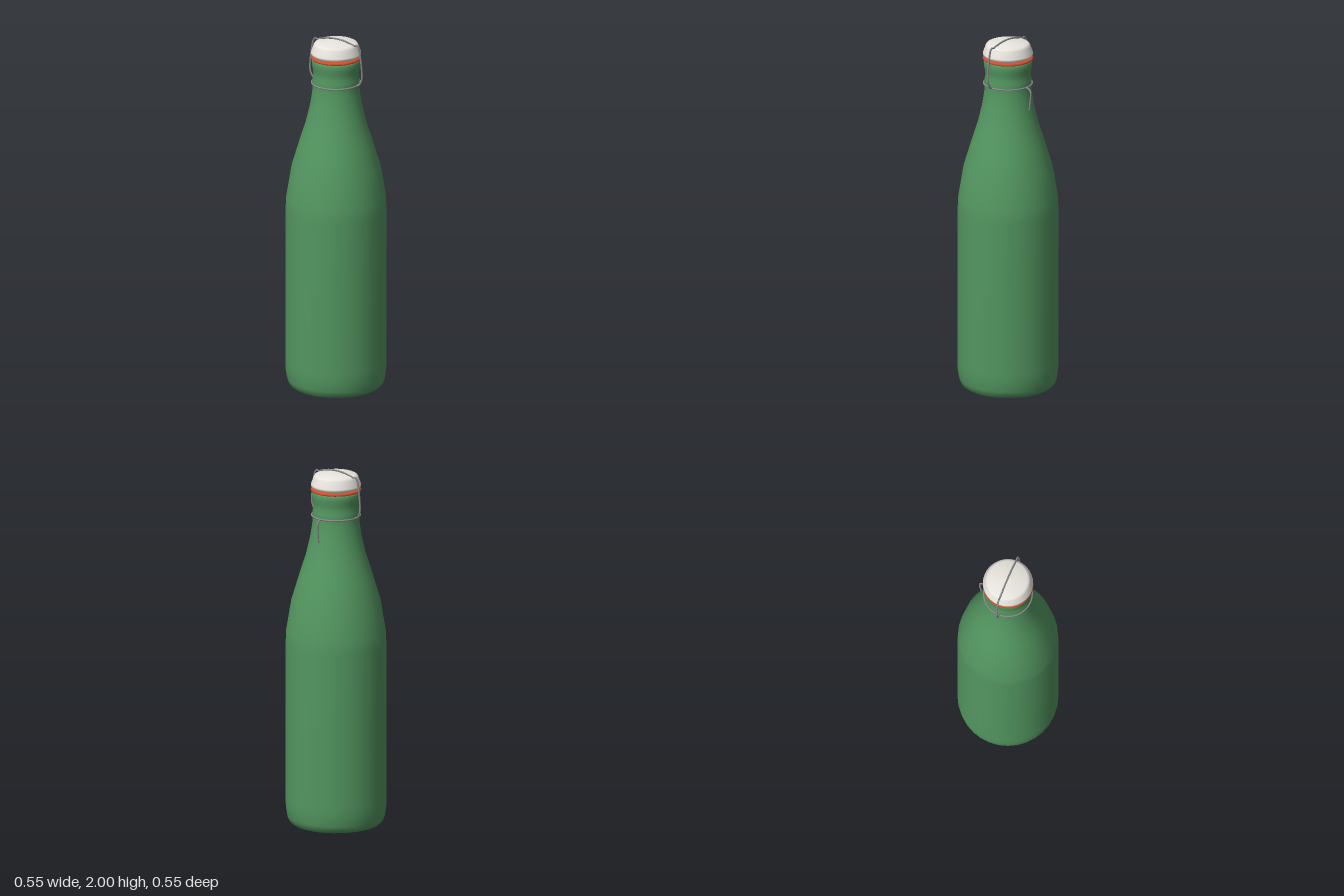
import * as THREE from 'three';

const SIDES = 32;
const material = (color) => new THREE.MeshStandardMaterial({ color });
const glass = material(0x539660);
const porcelain = material(0xe8e5de);
const rubber = material(0xd0502f);
const steel = material(0x888888);

function addMesh(parent, name, geometry, mat) {
  const mesh = new THREE.Mesh(geometry, mat);
  mesh.name = name;
  parent.add(mesh);
  return mesh;
}

// Turned part from [radius, height] pairs, listed from the bottom up
function turned(profile) {
  return new THREE.LatheGeometry(profile.map(([r, y]) => new THREE.Vector2(r, y)), SIDES);
}

// Bent wire through a few points, with closed ends
function addWire(parent, name, points, radius) {
  const curve = new THREE.CatmullRomCurve3(points.map((p) => new THREE.Vector3(...p)), false, 'centripetal');
  const wire = new THREE.Group();
  wire.name = name;
  addMesh(wire, name + 'Rod', new THREE.TubeGeometry(curve, points.length * 6, radius, 8), steel);
  for (const t of [0, 1]) {
    const end = addMesh(wire, name + 'End', new THREE.SphereGeometry(radius, 8, 6), steel);
    end.position.copy(curve.getPoint(t));
  }
  parent.add(wire);
}

export function createModel() {
  const model = new THREE.Group();
  model.name = 'swingTopBottle';

  // Bottle with a hollowed base, sloping shoulder and waisted lip
  addMesh(model, 'bottle', turned([
    [0, 0.06], [0.1, 0.05], [0.17, 0.03], [0.208, 0.008], [0.222, 0], [0.24, 0.003],
    [0.258, 0.018], [0.268, 0.045], [0.276, 0.1], [0.277, 0.15], [0.277, 0.6],
    [0.276, 1.02], [0.273, 1.09], [0.245, 1.26], [0.2, 1.41], [0.165, 1.52],
    [0.142, 1.62], [0.131, 1.69], [0.127, 1.735], [0.13, 1.75], [0.128, 1.77],
    [0.124, 1.795], [0.126, 1.82], [0.132, 1.845], [0.133, 1.87], [0.128, 1.88],
    [0.12, 1.882], [0, 1.882],
  ]), glass);

  // Rubber seal
  addMesh(model, 'seal', turned([
    [0, 1.88], [0.12, 1.88], [0.135, 1.883], [0.139, 1.889], [0.135, 1.896], [0.118, 1.9], [0, 1.9],
  ]), rubber);

  // Domed stopper
  addMesh(model, 'stopper', turned([
    [0, 1.898], [0.115, 1.898], [0.13, 1.903], [0.138, 1.912], [0.137, 1.92],
    [0.123, 1.96], [0.117, 1.97], [0.107, 1.975], [0.06, 1.985], [0, 1.989],
  ]), porcelain);

  // Wire collar round the neck
  const collar = addMesh(model, 'collar', new THREE.TorusGeometry(0.133, 0.005, 8, SIDES), steel);
  collar.rotation.x = Math.PI / 2;
  collar.position.y = 1.745;

  // Bail looping over the stopper, its right half mirrored from the left
  const half = [
    [0.13, 1.745], [0.15, 1.755], [0.165, 1.79], [0.165, 1.83], [0.156, 1.91],
    [0.143, 1.965], [0.132, 1.976], [0.118, 1.973], [0.1, 1.979], [0.05, 1.991],
  ];
  addWire(model, 'bail', [
    ...half.map(([x, y]) => [x, y, 0]),
    [0, 1.995, 0],
    ...half.slice().reverse().map(([x, y]) => [-x, y, 0]),
  ], 0.005);

  // Lever hanging from the back of the collar
  addWire(model, 'lever', [
    [0, 1.745, -0.132], [0, 1.742, -0.152], [0, 1.728, -0.165],
    [0, 1.69, -0.166], [0, 1.65, -0.161], [0, 1.622, -0.158],
  ], 0.005);

  return model;
}
